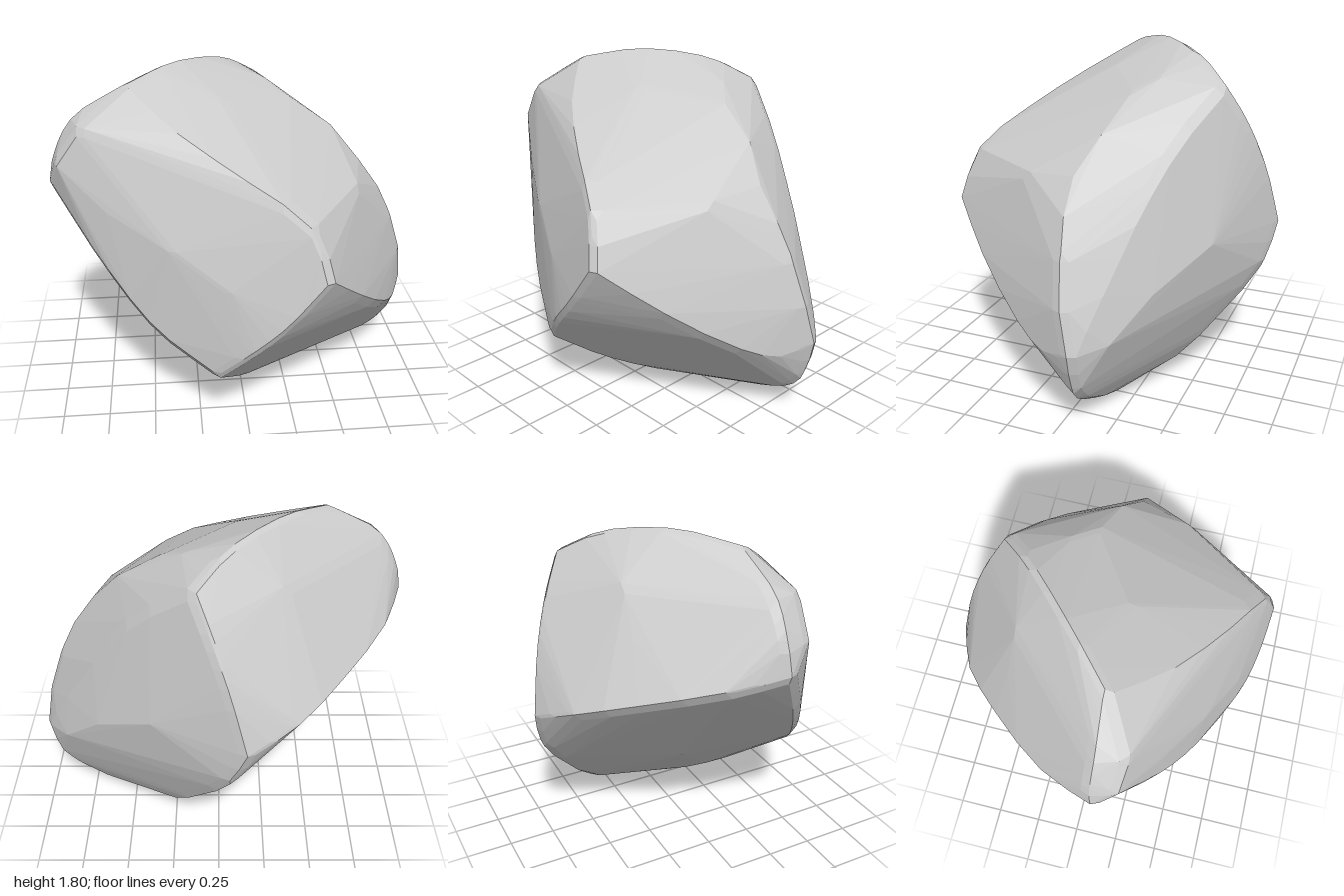
import * as THREE from 'three';
import { ConvexGeometry } from 'three/addons/geometries/ConvexGeometry.js';

// Eight blunt corners of the skewed, block-like boulder
const corners = {
  front: [0.38, 0.96, 0.84], top: [-0.6, 1.75, 0.1], left: [-1.005, 1.27, 0.13], low: [-0.16, 0.36, 0.71],
  right: [1.005, 0.43, -0.1], foot: [0.43, 0, -0.11], crest: [0.11, 1.64, -0.58], back: [-0.15, 0.86, -0.84],
};

// Bowed edges: corner to corner through the points between
const edges = [
  ['front', 'top', [0.3, 1.2, 0.77], [0, 1.39, 0.6], [-0.35, 1.58, 0.36]],
  ['top', 'crest', [-0.35, 1.8, -0.13], [-0.05, 1.75, -0.41]],
  ['crest', 'right', [0.37, 1.42, -0.44], [0.52, 1.24, -0.36], [0.66, 1.05, -0.29], [0.78, 0.85, -0.23], [0.93, 0.6, -0.15]],
  ['crest', 'back', [0.03, 1.45, -0.68], [-0.06, 1.2, -0.77]],
  ['back', 'foot', [-0.06, 0.64, -0.79], [0.1, 0.37, -0.6], [0.27, 0.13, -0.39]],
  ['left', 'top', [-0.97, 1.43, 0.12], [-0.86, 1.6, 0.12]],
  ['left', 'back', [-0.9, 1.2, -0.13], [-0.63, 1.08, -0.48], [-0.38, 0.97, -0.73]],
  ['left', 'low', [-0.73, 0.88, 0.38], [-0.46, 0.56, 0.56]],
  ['low', 'foot', [0, 0.19, 0.46], [0.2, 0.06, 0.17]],
  ['low', 'front', [0, 0.53, 0.79], [0.18, 0.71, 0.83]],
  ['front', 'right', [0.6, 0.72, 0.58], [0.83, 0.47, 0.24], [0.94, 0.39, 0.04]],
  ['right', 'foot', [0.95, 0.22, -0.1], [0.84, 0.12, -0.1], [0.6, 0.025, -0.14]],
];

// Gentle swellings of the six sides
const swellings = [
  // front left
  [-0.38, 1.05, 0.58], [-0.1, 0.87, 0.72], [-0.7, 1.2, 0.39], [-0.96, 1.41, 0.22], [-0.84, 1.58, 0.24],
  // upper right, with a soft ridge across it
  [0.48, 1.12, 0.54], [0.61, 1.21, 0.29], [0.68, 1.24, 0], [0.81, 1.06, 0], [0.89, 0.9, -0.02], [0.97, 0.66, -0.05],
  [0.52, 1.43, -0.09], [0.28, 1.59, -0.15], [0.15, 1.67, -0.28], [0.2, 1.5, 0.15], [-0.1, 1.65, 0.1],
  // back right
  [0.33, 0.87, -0.61], [0.66, 0.68, -0.39], [0.88, 0.46, -0.23],
  // back left, underside and lower front
  [-0.46, 1.38, -0.42], [-0.33, 1.57, -0.4], [-0.28, 0.51, -0.08], [0.4, 0.45, 0.4],
];

export function createModel() {
  const group = new THREE.Group();
  group.name = 'boulder';

  const points = swellings.map((p) => new THREE.Vector3(...p));
  for (const [a, b, ...between] of edges) {
    const path = [corners[a], ...between, corners[b]].map((p) => new THREE.Vector3(...p));
    points.push(...new THREE.CatmullRomCurve3(path).getPoints(8));
  }

  // Wear every edge: draw the points in, then spread a small ball round each
  const wear = 0.06;
  const centre = new THREE.Vector3(0, 0.9, 0);
  const ball = new THREE.OctahedronGeometry(wear, 1).getAttribute('position');
  const cloud = [];
  for (const p of points) {
    const inner = p.clone().lerp(centre, wear / 0.9);
    for (let i = 0; i < ball.count; i++) {
      cloud.push(new THREE.Vector3().fromBufferAttribute(ball, i).add(inner));
    }
  }

  const rock = new THREE.Mesh(
    new ConvexGeometry(cloud),
    new THREE.MeshStandardMaterial({ color: 0xcccccc, flatShading: true }),
  );
  rock.name = 'rock';
  group.add(rock);
  return group;
}
